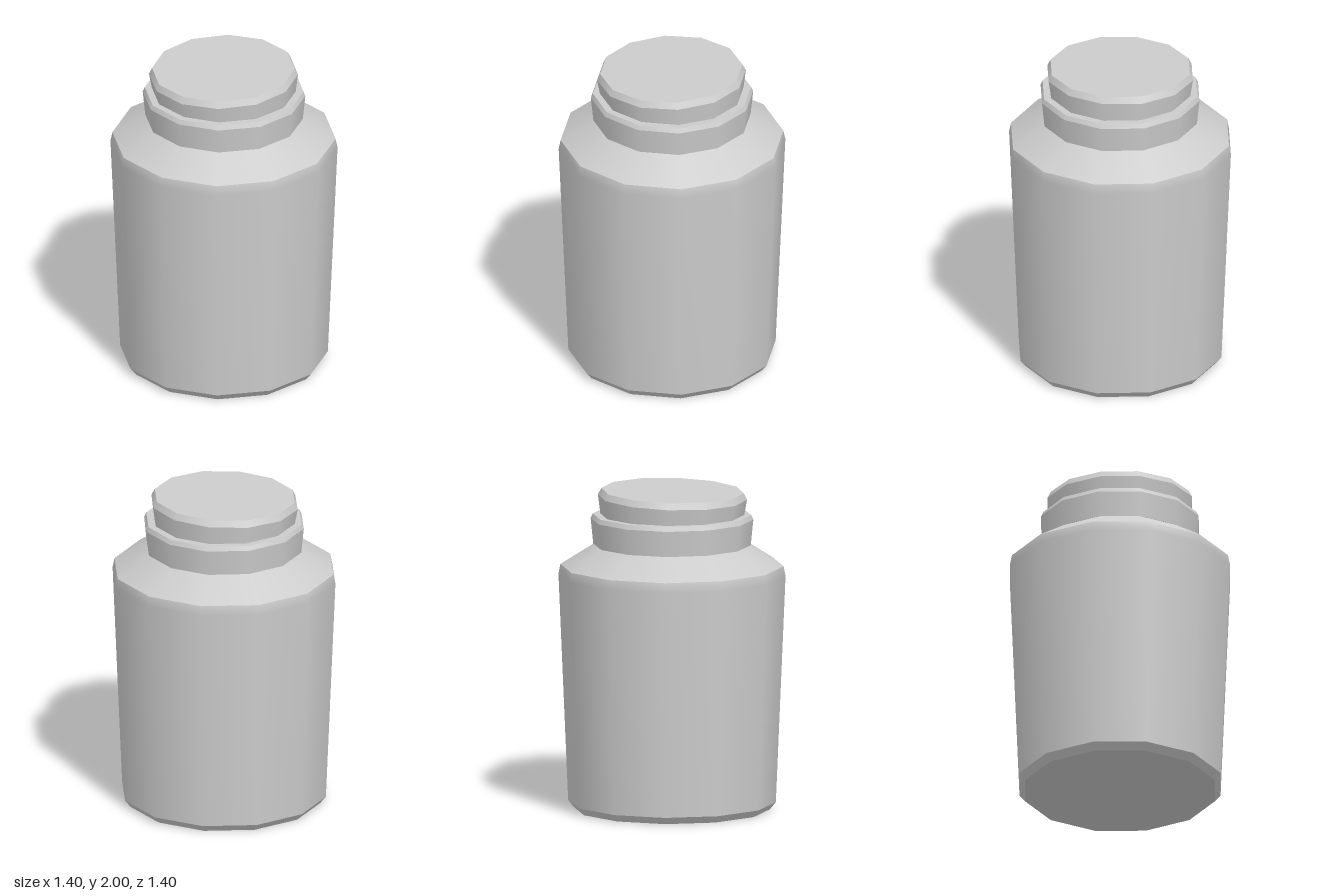
import * as THREE from 'three';
import { mergeGeometries } from 'three/addons/utils/BufferGeometryUtils.js';

const SIDES = 12;

// Revolve each band on its own: smooth within a band, sharp edges between bands
function turned(name, bands, material) {
  const parts = bands.map((band) =>
    new THREE.LatheGeometry(band.map(([r, y]) => new THREE.Vector2(r, y)), SIDES));
  const mesh = new THREE.Mesh(mergeGeometries(parts), material);
  mesh.name = name;
  return mesh;
}

export function createModel() {
  const group = new THREE.Group();
  group.name = 'jar';
  const grey = new THREE.MeshStandardMaterial({ color: 0xcccccc });
  grey.name = 'light grey';

  // Tapered body with a bevelled foot and sloping shoulder
  group.add(turned('body', [
    [[0, 0], [0.605, 0]],
    [[0.605, 0], [0.642, 0.045]],
    [[0.642, 0.045], [0.702, 1.46], [0.69, 1.52]],
    [[0.69, 1.52], [0.485, 1.65]],
  ], grey));

  // Flared neck with a chamfered lip
  group.add(turned('neck', [
    [[0.487, 1.65], [0.503, 1.81]],
    [[0.503, 1.81], [0.49, 1.838]],
    [[0.49, 1.838], [0, 1.838]],
  ], grey));

  // Stopper, sitting slightly crooked in the neck
  const stopper = turned('stopper', [
    [[0, -0.03], [0.44, -0.03]],
    [[0.44, -0.03], [0.461, 0.11]],
    [[0.461, 0.11], [0.441, 0.15]],
    [[0.441, 0.15], [0, 0.15]],
  ], grey);
  stopper.position.y = 1.836;
  stopper.rotation.z = 0.032;
  group.add(stopper);

  return group;
}
